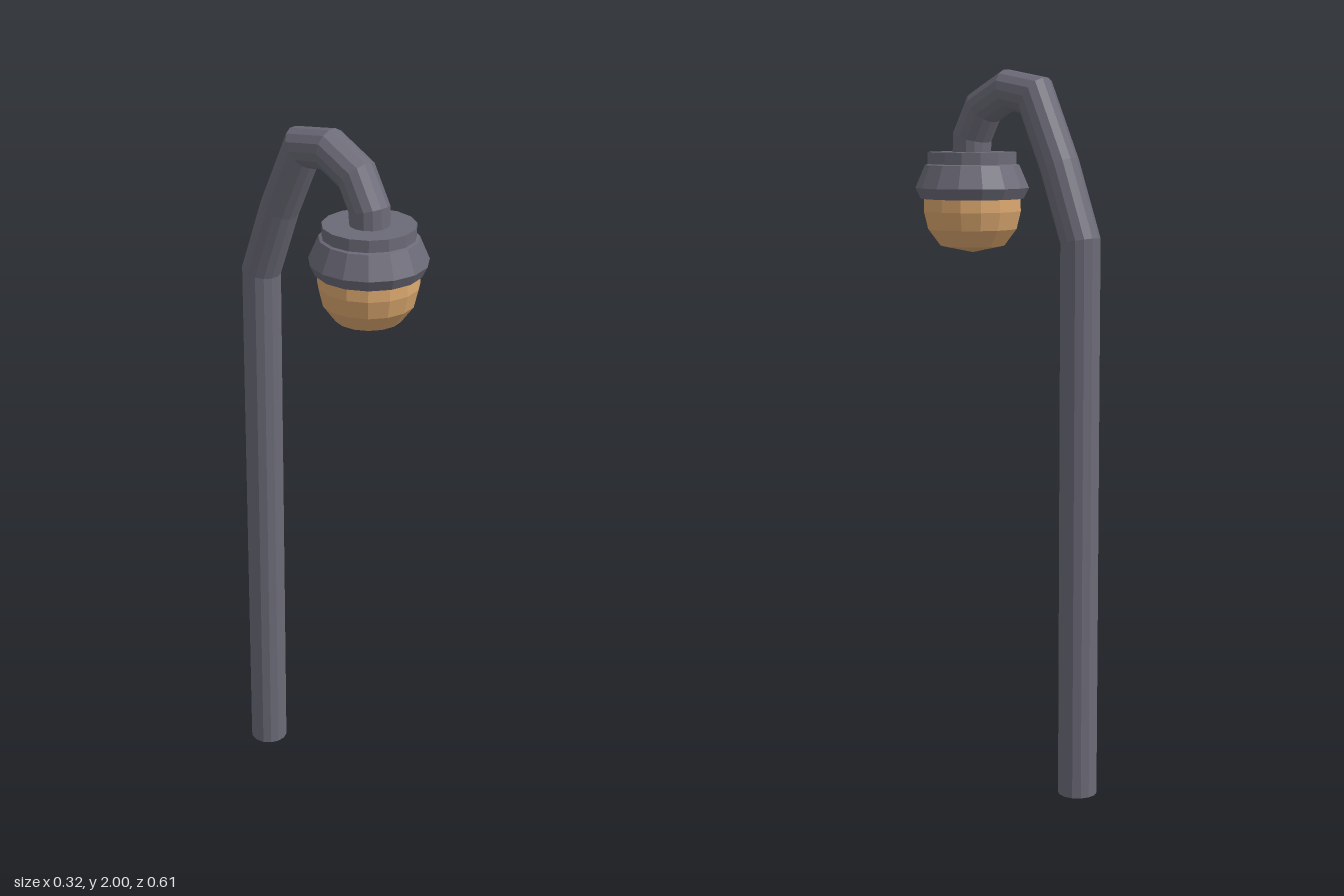
import * as THREE from 'three';

const metal = new THREE.MeshStandardMaterial({ name: 'greyMetal', color: 0x6b6a77, flatShading: true });
const glass = new THREE.MeshStandardMaterial({ name: 'amberGlass', color: 0xd9a66e, flatShading: true });

const LAMP_Z = 0.148;

// Capped tube with mitred joints along a path of [z, y] points in the x = 0 plane
function mitredTube(path, radius, sides) {
  const pts = path.map(([z, y]) => new THREE.Vector3(0, y, z));
  const side = new THREE.Vector3(1, 0, 0);
  const pos = [], index = [];
  pts.forEach((p, i) => {
    const before = pts[Math.max(i - 1, 0)], after = pts[Math.min(i + 1, pts.length - 1)];
    const dIn = (i ? p.clone().sub(before) : after.clone().sub(p)).normalize();
    const dOut = (i < pts.length - 1 ? after.clone().sub(p) : dIn.clone()).normalize();
    const normal = dIn.clone().add(dOut).normalize().cross(side);
    const stretch = 1 / Math.cos(dIn.angleTo(dOut) / 2);
    for (let j = 0; j < sides; j++) {
      const a = (j / sides) * Math.PI * 2;
      const v = p.clone().addScaledVector(side, Math.cos(a) * radius)
        .addScaledVector(normal, Math.sin(a) * radius * stretch);
      pos.push(v.x, v.y, v.z);
    }
  });
  const last = (pts.length - 1) * sides, startCentre = pts.length * sides;
  for (const p of [pts[0], pts[pts.length - 1]]) pos.push(p.x, p.y, p.z);
  for (let j = 0; j < sides; j++) {
    const k = (j + 1) % sides;
    for (let r = 0; r < last; r += sides) {
      index.push(r + j, r + k, r + sides + k, r + j, r + sides + k, r + sides + j);
    }
    index.push(startCentre, k, j, startCentre + 1, last + j, last + k);
  }
  const geo = new THREE.BufferGeometry();
  geo.setAttribute('position', new THREE.Float32BufferAttribute(pos, 3));
  geo.setIndex(index);
  geo.computeVertexNormals();
  return geo;
}

// Fifteen-sided turned part; profile of [radius, y] runs from bottom to top
function turned(name, profile, material) {
  const geo = new THREE.LatheGeometry(profile.map(([r, y]) => new THREE.Vector2(r, y)), 15);
  const mesh = new THREE.Mesh(geo, material);
  mesh.name = name;
  mesh.position.z = LAMP_Z;
  return mesh;
}

export function createModel() {
  const group = new THREE.Group();
  group.name = 'streetLamp';

  // Post and curved neck in one bent tube
  const post = new THREE.Mesh(mitredTube([
    [-0.253, 0], [-0.253, 1.543], [-0.178, 1.742], [-0.09, 1.928],
    [0.008, 1.944], [0.103, 1.896], [0.148, 1.815], [0.15, 1.76],
  ], 0.054, 14), metal);
  post.name = 'postAndNeck';
  group.add(post);

  // Stepped shade
  group.add(turned('shade', [
    [0, 1.645], [0.145, 1.645], [0.16, 1.675], [0.133, 1.738],
    [0.125, 1.741], [0.125, 1.774], [0, 1.774],
  ], metal));

  // Glowing globe below the shade
  group.add(turned('globe', [
    [0, 1.494], [0.09, 1.513], [0.125, 1.56], [0.137, 1.61], [0.135, 1.65], [0, 1.65],
  ], glass));

  return group;
}
